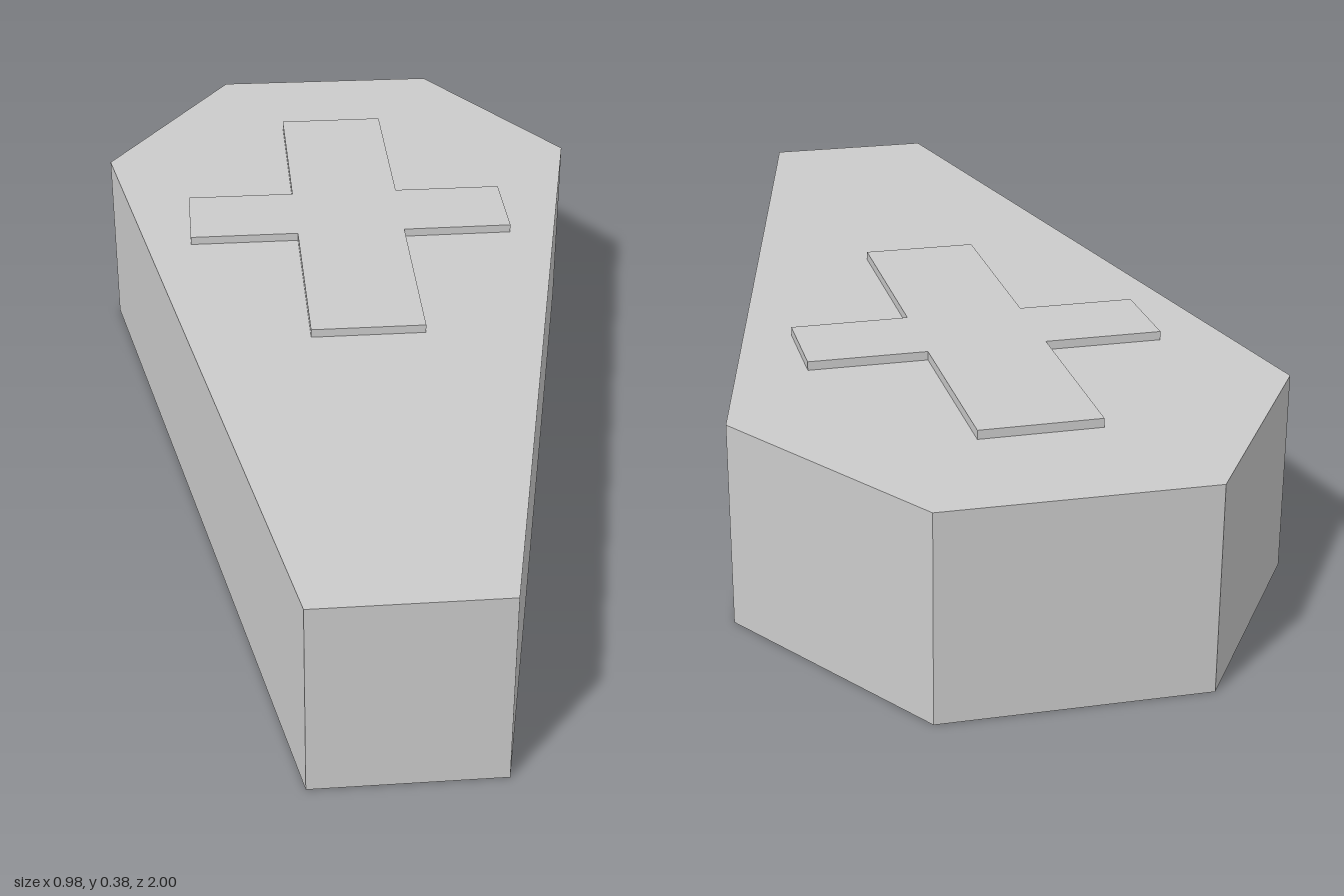
import * as THREE from 'three';

const material = new THREE.MeshStandardMaterial({ color: 0xcccccc, flatShading: true });

// Upright prism from a plan outline of [x, z] corners
function prism(name, outline, bottom, top) {
  const shape = new THREE.Shape(outline.map(([x, z]) => new THREE.Vector2(x, -z)));
  const geometry = new THREE.ExtrudeGeometry(shape, { depth: top - bottom, bevelEnabled: false });
  geometry.rotateX(-Math.PI / 2);
  geometry.translate(0, bottom, 0);
  const mesh = new THREE.Mesh(geometry, material);
  mesh.name = name;
  return mesh;
}

export function createModel() {
  const group = new THREE.Group();
  group.name = 'coffin';

  // Six-sided box, turned slightly about the vertical
  group.add(prism('coffinBody', [
    [-0.25, -0.98], [0.21, -1], [0.488, -0.615],
    [0.24, 0.98], [-0.092, 1], [-0.49, -0.57],
  ], 0, 0.365));

  // Thin raised cross on the lid
  group.add(prism('lidCross', [
    [-0.119, -0.733], [0.094, -0.745], [0.115, -0.388], [0.329, -0.4],
    [0.339, -0.225], [0.124, -0.212], [0.145, 0.172], [-0.069, 0.184],
    [-0.09, -0.2], [-0.304, -0.188], [-0.314, -0.364], [-0.1, -0.376],
  ], 0.365, 0.381));

  return group;
}
